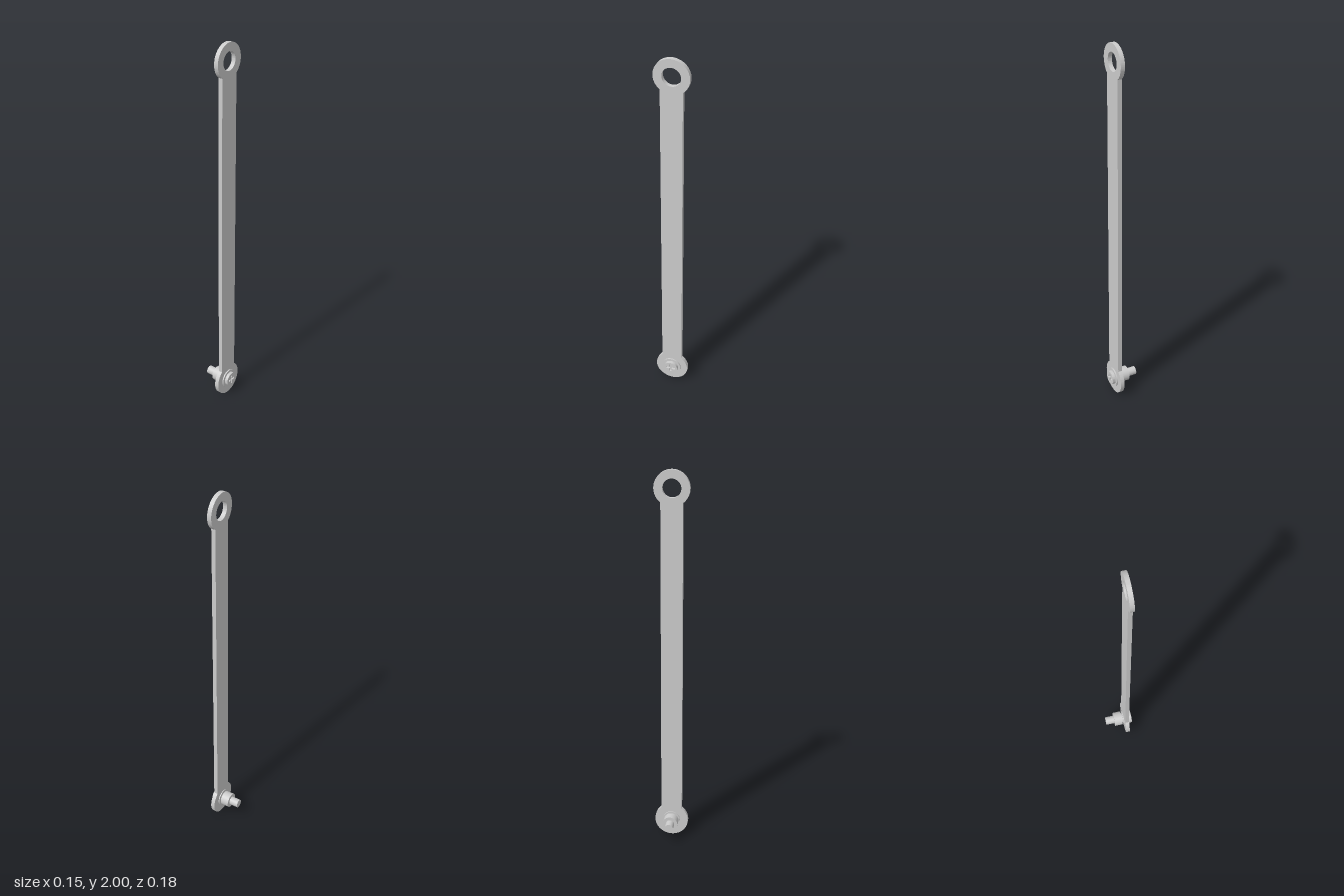
import * as THREE from 'three';
import { toCreasedNormals } from 'three/addons/utils/BufferGeometryUtils.js';

const material = new THREE.MeshStandardMaterial({ color: 0xcccccc });
const R = 0.09;            // radius of the round ends
const HALF_BAR = 0.056;    // half width of the bar
const LOW = 0.092, HIGH = 2 - R;

function addMesh(parent, name, geometry) {
  const mesh = new THREE.Mesh(geometry, material);
  mesh.name = name;
  parent.add(mesh);
  return mesh;
}

// Extrude a (z, y) outline along x, from x0 to x1
function slab(shape, x0, x1) {
  const g = new THREE.ExtrudeGeometry(shape, { depth: x1 - x0, bevelEnabled: false, curveSegments: 48 });
  g.rotateY(Math.PI / 2).translate(x0, 0, 0);
  return toCreasedNormals(g, 0.5);
}

// Cylinder lying along x, from x0 to x1
function disc(x0, x1, radius) {
  const g = new THREE.CylinderGeometry(radius, radius, x1 - x0, 48);
  return g.rotateZ(-Math.PI / 2).translate((x0 + x1) / 2, 0, 0);
}

export function createModel() {
  const model = new THREE.Group();
  model.name = 'linkArm';

  // Flat bar with a round eye at each end
  const a = Math.asin(HALF_BAR / R);
  const outline = new THREE.Shape();
  outline.absarc(0, HIGH, R, -Math.PI / 2 + a, Math.PI * 1.5 - a, false);
  outline.absarc(0, R, R, Math.PI / 2 + a, Math.PI * 2.5 - a, false);
  outline.closePath();
  const eye = new THREE.Path();
  eye.absarc(0, HIGH, 0.047, 0, Math.PI * 2, true);
  outline.holes.push(eye);
  addMesh(model, 'arm', slab(outline, 0.03, 0.052));

  // Pivot screw through the lower eye: [name, x0, x1, radius]
  const screw = new THREE.Group();
  screw.name = 'pivotScrew';
  screw.position.y = LOW;
  model.add(screw);
  const turned = [
    ['pin', -0.077, -0.027, 0.023],
    ['collar', -0.027, 0.019, 0.04],
    ['neck', 0.019, 0.025, 0.029],
    ['innerWasher', 0.025, 0.03, 0.046],
    ['outerWasher', 0.052, 0.059, 0.052],
    ['headBase', 0.059, 0.065, 0.0385],
  ];
  for (const [name, x0, x1, radius] of turned) addMesh(screw, name, disc(x0, x1, radius));

  // Screw head with a cross-shaped recess
  const head = new THREE.Shape();
  head.absarc(0, 0, 0.0385, 0, Math.PI * 2, false);
  const w = 0.006, l = 0.025;
  const points = [];
  for (let i = 0; i < 4; i++) {
    for (const [x, y] of [[l, -w], [l, w], [w, w]]) {
      points.push(new THREE.Vector2(x, y).rotateAround(new THREE.Vector2(), i * Math.PI / 2));
    }
  }
  head.holes.push(new THREE.Path(points.reverse()));
  addMesh(screw, 'crossHead', slab(head, 0.065, 0.076));

  return model;
}
